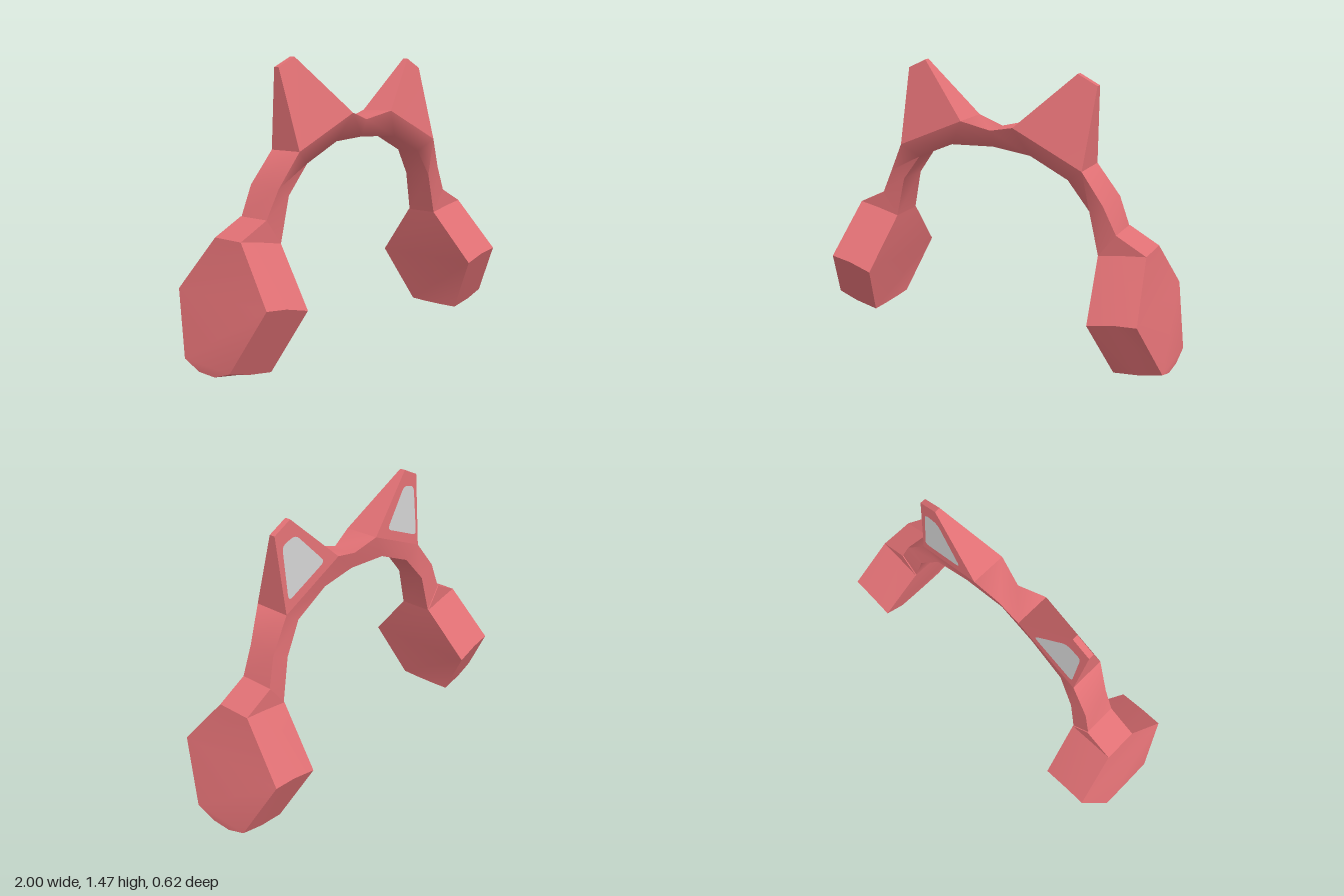
import * as THREE from 'three';
import { toCreasedNormals } from 'three/addons/utils/BufferGeometryUtils.js';

// Faces (quads or triangles of [x,y,z]) to a geometry with soft edges below the crease angle
function fromFaces(faces, crease) {
  const pos = [];
  for (const f of faces)
    for (let i = 1; i < f.length - 1; i++) pos.push(...f[0], ...f[i], ...f[i + 1]);
  const g = new THREE.BufferGeometry();
  g.setAttribute('position', new THREE.Float32BufferAttribute(pos, 3));
  return toCreasedNormals(g, crease);
}

// Walls between successive rings of points
function loft(rings) {
  const faces = [];
  for (let i = 0; i < rings.length - 1; i++) {
    const a = rings[i], b = rings[i + 1];
    a.forEach((p, j) => {
      const k = (j + 1) % a.length;
      faces.push([a[k], p, b[j], b[k]]);
    });
  }
  return faces;
}

const mirror = faces => faces.map(f => f.map(([x, y, z]) => [-x, y, z]).reverse());

// Ring of a cup from front-half points, top to bottom
const cupRing = pts => [
  pts[0], ...pts.map(([x, y, z]) => [x, y, -z]), ...pts.slice(1).reverse(),
];

export function createModel() {
  const group = new THREE.Group();
  const red = new THREE.MeshStandardMaterial({ color: 0xe07074 });
  red.name = 'coral red';
  const grey = new THREE.MeshStandardMaterial({ color: 0xd0d0d0, side: THREE.DoubleSide });
  grey.name = 'light grey';
  const add = (name, geometry, material = red) => {
    const m = new THREE.Mesh(geometry, material);
    m.name = name;
    group.add(m);
  };

  // Headband half: [outer x, y, front z, back z, inner x, y, front z, back z]
  const bandRings = [
    [0, 1.15, 0.10, -0.03, 0, 1.06, 0.07, -0.01],
    [0.15, 1.19, 0.14, -0.05, 0.23, 1.05, 0.10, -0.03],
    [0.53, 1.02, 0.14, -0.05, 0.44, 0.955, 0.10, -0.04],
    [0.65, 0.86, 0.10, -0.07, 0.555, 0.81, 0.09, -0.07],
    [0.70, 0.71, 0.09, -0.085, 0.61, 0.587, 0.09, -0.085],
  ].map(([ox, oy, of, ob, ix, iy, nf, nb]) =>
    [[ox, oy, of], [ox, oy, ob], [ix, iy, nb], [ix, iy, nf]]);
  bandRings[3][0] = [0.63, 0.85, 0.10];
  const band = loft(bandRings);
  add('headband', fromFaces([...band, ...mirror(band)], 1.3));

  // Ear: wedge rising from the band to a narrow blunt tip
  const earBase = [[0.15, 1.19, 0.14], [0.15, 1.19, -0.05], [0.53, 1.02, -0.05], [0.53, 1.02, 0.14]];
  const earTip = [[0.44, 1.465, 0.02], [0.44, 1.465, -0.01], [0.545, 1.415, -0.01], [0.545, 1.415, 0.02]];
  const ear = [...loft([earBase, earTip]), [...earTip].reverse()];

  // Ear cup: three cross-sections from the inner to the outer side
  const cupRings = [
    [[0.61, 0.587, 0.09], [0.655, 0.31, 0.31], [0.745, 0.005, 0.155], [0.745, 0.002, 0.055]],
    [[0.74, 0.612, 0.09], [0.79, 0.345, 0.31], [0.88, 0.03, 0.16], [0.87, 0, 0.055]],
    [[0.86, 0.63, 0.09], [0.91, 0.36, 0.31], [1, 0.065, 0.16], [1, 0.025, 0.055]],
  ];
  const cup = loft(cupRings.map(cupRing));
  for (const [ring, outer] of [[cupRings[0], false], [cupRings[2], true]])
    for (let i = 0; i < 3; i++) {
      const p = ring[i], q = ring[i + 1];
      const f = [p, [p[0], p[1], -p[2]], [q[0], q[1], -q[2]], q];
      cup.push(outer ? f.reverse() : f);
    }

  // Shoulder that joins the band to the top of the cup
  const pair = (x, y) => [[x, y, 0.09], [x, y, -0.09]];
  const shoulder = loft([
    [...pair(0.70, 0.71), ...pair(0.61, 0.587).reverse()],
    [...pair(0.86, 0.63), ...pair(0.74, 0.612).reverse()],
  ]);

  // Rounded panel lying on the sloping back of the ear
  function panel(s) {
    const c = [[0.51, 1.085], [0.25, 1.2], [0.42, 1.385], [0.51, 1.36]]
      .map(([x, y]) => new THREE.Vector2(x, y));
    const shape = new THREE.Shape();
    c.forEach((p, i) => {
      const prev = c[(i + 3) % 4], next = c[(i + 1) % 4];
      const toward = q => p.clone().add(q.clone().sub(p).setLength(0.03));
      const a = toward(prev), b = toward(next);
      if (i) shape.lineTo(a.x, a.y); else shape.moveTo(a.x, a.y);
      shape.quadraticCurveTo(p.x, p.y, b.x, b.y);
    });
    shape.closePath();
    const g = new THREE.ShapeGeometry(shape, 4);
    const pos = g.attributes.position;
    for (let i = 0; i < pos.count; i++) {
      const x = pos.getX(i), y = pos.getY(i);
      const rise = ((x - 0.15) * 0.408 + (y - 1.19) * 0.913) / 0.368;
      pos.setXYZ(i, s * x, y, -0.054 + 0.04 * rise);
    }
    // Wind both sides so the face points backwards
    if (s > 0) {
      const id = g.index.array;
      for (let i = 0; i < id.length; i += 3) [id[i], id[i + 1]] = [id[i + 1], id[i]];
    }
    g.computeVertexNormals();
    return g;
  }

  for (const [side, s] of [['left', 1], ['right', -1]]) {
    const flip = f => (s > 0 ? f : mirror(f));
    add(side + 'Ear', fromFaces(flip(ear), 0.2));
    add(side + 'EarPanel', panel(s), grey);
    add(side + 'Cup', fromFaces(flip(cup), 0.6));
    add(side + 'Shoulder', fromFaces(flip(shoulder), 0.2));
  }
  return group;
}
